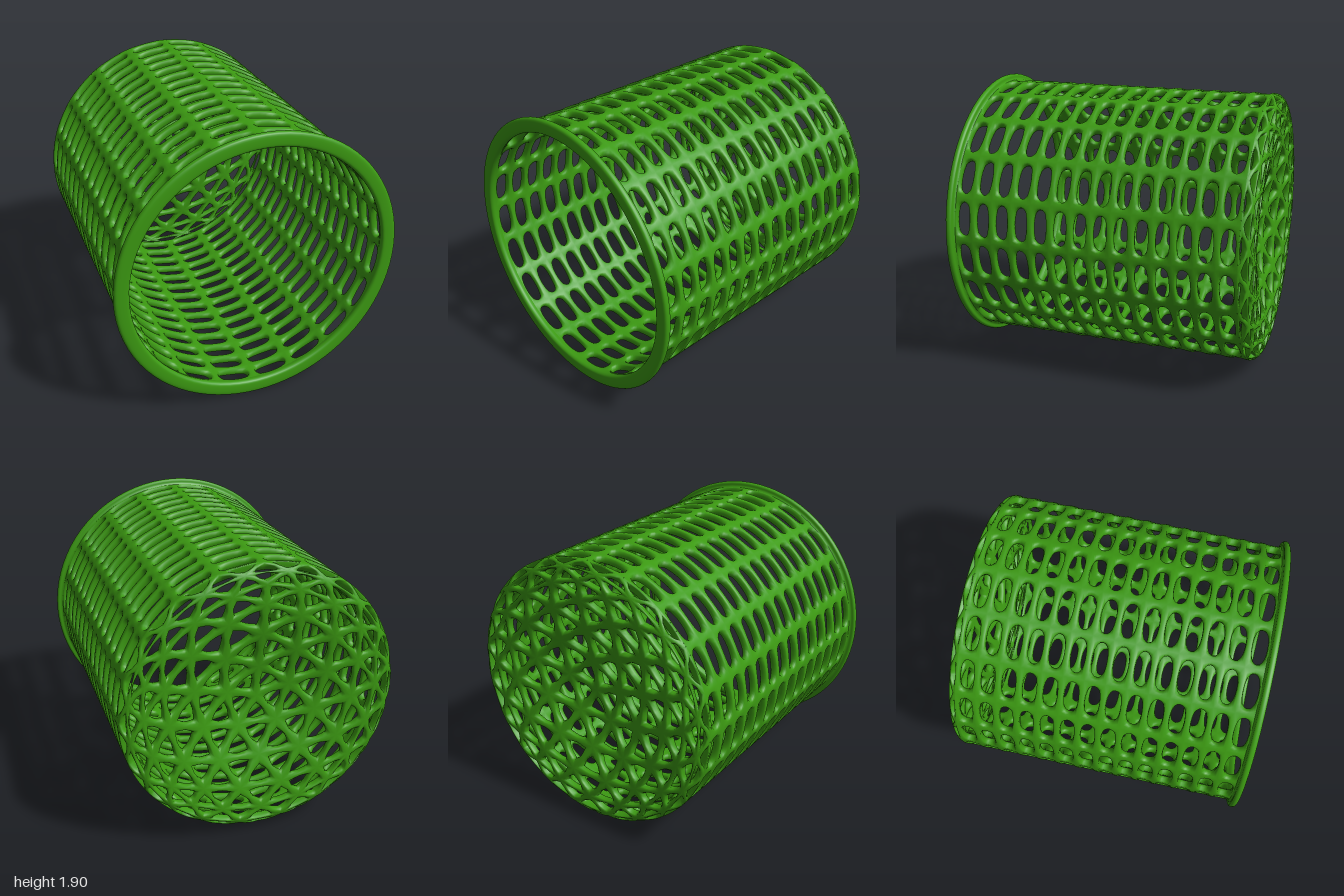
import * as THREE from 'three';
import { mergeVertices } from 'three/addons/utils/BufferGeometryUtils.js';

const R = 0.885;        // mid radius of the wall
const HALF = 0.025;     // half of the wall thickness
const CENTER_Y = 0.953;
const ROWS = 14, COLS = 20, PITCH = 0.135;
const Z_BACK = -0.9325;

// Cross-section from cell border to hole and back: [blend to hole, thickness offset]
const SECTION = [[0, 1], [0.55, 1], [0.88, 0.75], [1, 0], [0.88, -0.75], [0.55, -1], [0, -1]];

// Adds one perforated cell; border and hole are matching counter-clockwise loops
function addCell(out, border, hole, place) {
  const n = border.length;
  const loops = SECTION.map(([s, h]) =>
    border.map((p, i) => place(p.clone().lerp(hole[i], s), h * HALF)));
  for (let k = 0; k < loops.length - 1; k++) {
    for (let i = 0; i < n; i++) {
      const j = (i + 1) % n;
      const a = loops[k][i], b = loops[k][j], c = loops[k + 1][j], d = loops[k + 1][i];
      for (const v of [a, b, c, a, c, d]) out.push(v.x, v.y, v.z);
    }
  }
}

// Points along a closed polygon
function outline(corners, perSide) {
  const pts = [];
  corners.forEach((c, i) => {
    const next = corners[(i + 1) % corners.length];
    for (let k = 0; k < perSide; k++) pts.push(c.clone().lerp(next, k / perSide));
  });
  return pts;
}

function smoothGeometry(positions) {
  const g = new THREE.BufferGeometry();
  g.setAttribute('position', new THREE.Float32BufferAttribute(positions, 3));
  const merged = mergeVertices(g, 1e-4);
  merged.computeVertexNormals();
  return merged;
}

// Cylindrical wall with rows of oval slots
function wallGeometry() {
  const out = [];
  const square = outline([[-1, -1], [1, -1], [1, 1], [-1, 1]].map(([x, y]) => new THREE.Vector3(x, y, 0)), 6);
  const halfAngle = Math.PI / COLS;
  const oval = (v, e) => Math.sign(v) * Math.pow(Math.abs(v), e);
  const place = (p, h) => new THREE.Vector3((R + h) * Math.cos(p.x), (R + h) * Math.sin(p.x), p.y);
  for (let row = 0; row < ROWS; row++) {
    const z = Z_BACK + (row + 0.5) * PITCH;
    for (let col = 0; col < COLS; col++) {
      const a = (col + 0.5) * 2 * halfAngle;
      const border = square.map(p => new THREE.Vector3(a + p.x * halfAngle, z + p.y * PITCH / 2, 0));
      const hole = square.map(p => {
        const t = Math.atan2(p.y, p.x);
        return new THREE.Vector3(
          a + 0.124 * oval(Math.cos(t), 0.88), z + 0.046 * oval(Math.sin(t), 0.88), 0);
      });
      addCell(out, border, hole, place);
    }
  }
  return smoothGeometry(out);
}

// Base profile: raised in the middle, rounded into the wall at its edge
function baseProfile(theta) {
  const r = R * Math.sin(Math.min(Math.max(theta, 0), Math.PI / 2));
  let z = -0.975;
  if (r < 0.75) z += 0.127 * 0.5 * (1 + Math.cos(Math.PI * r / 0.75));
  if (r > 0.8) {
    const q = Math.min(1, (r - 0.8) / (R - 0.8));
    z += (Z_BACK + 0.975) * (1 - Math.sqrt(1 - q * q));
  }
  return new THREE.Vector2(r, z);
}

function placeOnBase(dir, h) {
  const flat = Math.hypot(dir.x, dir.y);
  const theta = Math.min(Math.PI / 2, Math.atan2(flat, -dir.z));
  const p = baseProfile(theta);
  const tangent = baseProfile(theta + 1e-3).sub(baseProfile(theta - 1e-3)).normalize();
  const r = p.x + tangent.y * h, z = p.y - tangent.x * h;
  const k = flat > 1e-6 ? r / flat : 0;
  return new THREE.Vector3(dir.x * k, dir.y * k, z);
}

// Base with one rounded hole in each triangle of a geodesic half sphere
function baseGeometry() {
  const out = [];
  const geo = new THREE.IcosahedronGeometry(1, 3);
  geo.rotateX(Math.atan2(2, 1 + Math.sqrt(5)));
  const pos = geo.getAttribute('position');
  for (let i = 0; i < pos.count; i += 3) {
    const tri = [0, 1, 2].map(k => new THREE.Vector3().fromBufferAttribute(pos, i + k));
    const c = tri[0].clone().add(tri[1]).add(tri[2]).divideScalar(3);
    if (c.z > 0) continue;
    const border = outline(tri, 6);
    const inner = Math.min(...border.map(p => p.distanceTo(c)));
    const hole = border.map(p => {
      const d = p.clone().sub(c);
      return c.clone().addScaledVector(d, 0.28 + 0.43 * inner / d.length());
    });
    addCell(out, border, hole, placeOnBase);
  }
  return smoothGeometry(out);
}

// Rolled rim around the open end
function rimGeometry() {
  const pts = [
    [0.91, 0.945], [0.922, 0.954], [0.942, 0.957], [0.951, 0.972], [0.946, 0.992],
    [0.925, 1.0], [0.88, 1.0], [0.86, 0.994], [0.852, 0.975], [0.86, 0.95],
  ].map(([r, z]) => new THREE.Vector2(r, z));
  const g = new THREE.LatheGeometry(new THREE.SplineCurve(pts).getPoints(24), 80);
  g.rotateX(Math.PI / 2);
  return g;
}

export function createModel() {
  const group = new THREE.Group();
  group.name = 'perforatedBasket';
  const material = new THREE.MeshStandardMaterial({ color: 0x3c9a12, side: THREE.DoubleSide });
  const parts = { wall: wallGeometry(), base: baseGeometry(), rim: rimGeometry() };
  for (const [name, geometry] of Object.entries(parts)) {
    const mesh = new THREE.Mesh(geometry, material);
    mesh.name = name;
    mesh.position.y = CENTER_Y;
    group.add(mesh);
  }
  return group;
}
